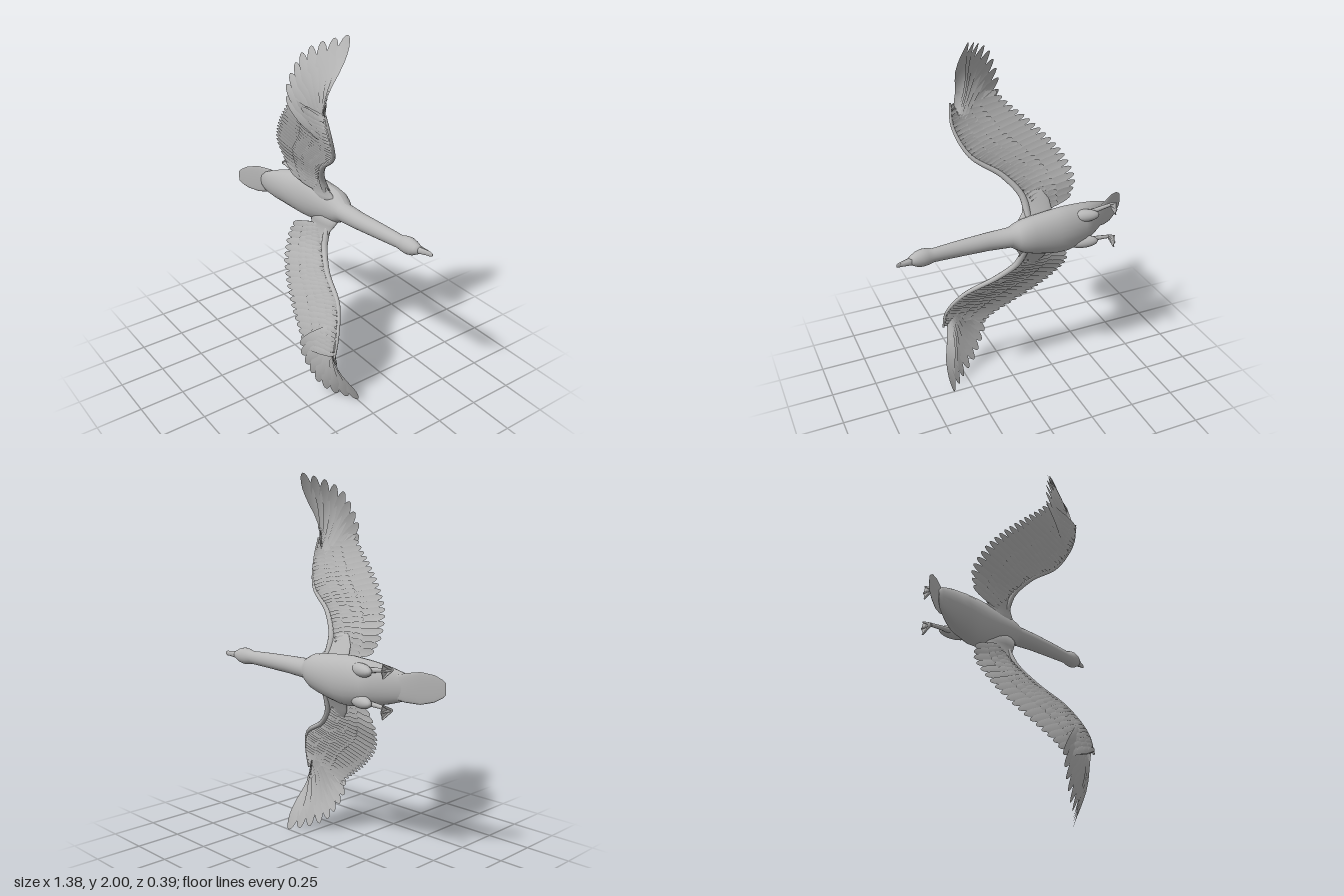
import * as THREE from 'three';
import { mergeGeometries } from 'three/addons/utils/BufferGeometryUtils.js';

const V = (x, y, z) => new THREE.Vector3(x, y, z);
const curve = pts => new THREE.CatmullRomCurve3(pts.map(p => V(...p)));

// Surface over a grid of points
function skin(rows) {
  const n = rows[0].length, idx = [];
  for (let i = 0; i < rows.length - 1; i++)
    for (let j = 0; j < n - 1; j++) {
      const a = i * n + j, b = a + n;
      idx.push(a, b, a + 1, b, b + 1, a + 1);
    }
  const g = new THREE.BufferGeometry().setFromPoints(rows.flat());
  g.setIndex(idx);
  g.computeVertexNormals();
  return g;
}

// Elliptical loft along x; each station is [x, y, z, radiusY, radiusZ]
function loft(stations, sides = 24) {
  const ring = (s, k) => Array.from({ length: sides + 1 }, (_, j) => {
    const a = -j / sides * Math.PI * 2;
    return V(s[0], s[1] + Math.cos(a) * s[3] * k, s[2] + Math.sin(a) * s[4] * k);
  });
  return skin([ring(stations[0], 0), ...stations.map(s => ring(s, 1)), ring(stations.at(-1), 0)]);
}

// One rounded feather, ridged along its shaft and tilted to overlap its neighbour.
// reach is the fraction of the full root-to-tip arc that it covers.
function feather(root, tip, sideA, sideB, { reach, width, lift, bow }) {
  const dir = tip.clone().sub(root).normalize(), rows = [];
  for (let i = 0; i <= 10; i++) {
    const t = i < 6 ? i * 0.14 : 0.7 + 0.3 * Math.sin((i - 5) / 5 * Math.PI / 2);
    const side = sideA.clone().lerp(sideB, t * reach);
    side.addScaledVector(dir, -side.dot(dir)).normalize();
    const up = V(0, 0, 0).crossVectors(side, dir).normalize();
    if (up.z < 0) up.negate();
    const round = t > 0.7 ? Math.sqrt(Math.max(0, 1 - ((t - 0.7) / 0.3) ** 2)) : 1;
    const w = width / 2 * Math.min(1, 0.45 + t) * round;
    const c = root.clone().lerp(tip, t * reach).addScaledVector(up, lift + bow * Math.sin(t * reach * Math.PI));
    rows.push([-1, 0, 1].map(k => c.clone().addScaledVector(side, k * w)
      .addScaledVector(up, (k === 0 ? 0.002 : -k * 0.003) * round)));
  }
  return skin(rows);
}

// A row of feathers spread from one curve to another
function featherRow(roots, tips, count, { reach = 1, overlap = 1.25, lift = 0, bow = 0.008 }) {
  const step = (roots.getLength() * (1 - reach) + tips.getLength() * reach) / (count - 1);
  return mergeGeometries(Array.from({ length: count }, (_, i) => {
    const t = i / (count - 1);
    return feather(roots.getPointAt(t), tips.getPointAt(t), roots.getTangentAt(t), tips.getTangentAt(t),
      { reach, width: step * overlap, lift, bow });
  }));
}

// Limb with a changing radius along a curve
function limb(path, r0, r1) {
  const rows = [], n = 24, fr = path.computeFrenetFrames(n);
  for (let i = 0; i <= n; i++) {
    const t = i / n, c = path.getPointAt(t), r = r0 + (r1 - r0) * t;
    rows.push(Array.from({ length: 11 }, (_, j) => {
      const a = j / 10 * Math.PI * 2;
      return c.clone().addScaledVector(fr.normals[i], Math.cos(a) * r)
        .addScaledVector(fr.binormals[i], Math.sin(a) * r);
    }));
  }
  return skin(rows);
}

export function createModel() {
  const grey = new THREE.MeshStandardMaterial({ color: 0xb8b8b8, side: THREE.DoubleSide });
  grey.name = 'plain grey';
  const model = new THREE.Group();
  const add = (parent, name, geo) => {
    const m = new THREE.Mesh(geo, grey);
    m.name = name;
    parent.add(m);
    return m;
  };

  // Body, neck and head in one smooth loft
  add(model, 'body', loft([
    [-0.565, 0.97, 0.0, 0.03, 0.006], [-0.54, 0.97, -0.012, 0.058, 0.018],
    [-0.5, 0.97, -0.03, 0.075, 0.036], [-0.45, 0.972, -0.052, 0.092, 0.054],
    [-0.4, 0.974, -0.073, 0.104, 0.07], [-0.35, 0.975, -0.09, 0.114, 0.083],
    [-0.25, 0.975, -0.11, 0.128, 0.083], [-0.19, 0.977, -0.116, 0.126, 0.082],
    [-0.12, 0.982, -0.121, 0.116, 0.08], [-0.05, 0.988, -0.124, 0.104, 0.076],
    [0.0, 0.992, -0.124, 0.092, 0.072], [0.035, 0.994, -0.12, 0.074, 0.064],
    [0.07, 0.995, -0.114, 0.053, 0.051], [0.2, 0.999, -0.116, 0.047, 0.044],
    [0.35, 1.003, -0.128, 0.042, 0.037], [0.49, 1.005, -0.14, 0.036, 0.03],
    [0.52, 1.007, -0.143, 0.043, 0.037], [0.55, 1.008, -0.146, 0.046, 0.039],
    [0.58, 1.008, -0.149, 0.039, 0.034], [0.6, 1.009, -0.152, 0.028, 0.027],
    [0.615, 1.01, -0.155, 0.02, 0.02]]));
  add(model, 'upperBeak', loft([[0.59, 1.009, -0.147, 0.024, 0.02], [0.62, 1.01, -0.157, 0.017, 0.013],
    [0.65, 1.011, -0.166, 0.015, 0.007], [0.675, 1.011, -0.172, 0.013, 0.004], [0.687, 1.011, -0.174, 0.007, 0.002]], 14));
  add(model, 'lowerBeak', loft([[0.59, 1.009, -0.163, 0.02, 0.012], [0.63, 1.01, -0.172, 0.014, 0.006],
    [0.665, 1.011, -0.176, 0.01, 0.003]], 12));
  add(model, 'tail', loft([[-0.46, 0.97, -0.072, 0.05, 0.012], [-0.53, 0.97, -0.033, 0.072, 0.01],
    [-0.59, 0.97, 0.008, 0.08, 0.007], [-0.645, 0.97, 0.047, 0.066, 0.004],
    [-0.675, 0.97, 0.068, 0.045, 0.002], [-0.688, 0.97, 0.078, 0.03, 0.001]], 20));

  // Wing curves, with the body axis along x
  const roots = curve([[-0.1, 0.11, -0.07], [-0.04, 0.2, -0.038], [0.06, 0.305, 0.016],
    [0.232, 0.412, 0.067], [0.303, 0.55, 0.13], [0.308, 0.64, 0.157]]);
  const tips = curve([[-0.31, 0.165, -0.03], [-0.338, 0.24, -0.01], [-0.302, 0.352, 0.045],
    [-0.242, 0.43, 0.08], [-0.13, 0.535, 0.128], [-0.01, 0.63, 0.165], [0.055, 0.69, 0.18]]);
  const handRoots = curve([[0.25, 0.51, 0.12], [0.275, 0.56, 0.138], [0.288, 0.62, 0.155]]);
  const handTips = curve([[0.045, 0.7, 0.188], [0.05, 0.765, 0.186], [0.085, 0.849, 0.165],
    [0.131, 0.926, 0.137], [0.193, 0.967, 0.095], [0.245, 0.988, 0.045], [0.294, 1.003, 0.0]]);
  const armPath = curve([[-0.04, 0.08, -0.09], [-0.035, 0.14, -0.065], [-0.018, 0.205, -0.038],
    [0.075, 0.305, 0.014], [0.235, 0.408, 0.065], [0.31, 0.55, 0.13], [0.314, 0.66, 0.157]]);
  // Wing root stations, lofted outward from the body: [out, -forward, z, half chord, thickness]
  const rootStations = [[0.03, 0.085, -0.105, 0.13, 0.05], [0.085, 0.09, -0.085, 0.105, 0.028],
    [0.12, 0.095, -0.072, 0.085, 0.017], [0.17, 0.095, -0.052, 0.075, 0.009], [0.22, 0.07, -0.03, 0.06, 0.005]];
  // Covert rows: [name, count, reach, distance from the wing surface]
  const coverts = [['greaterCoverts', 24, 0.6, 0.005], ['medianCoverts', 28, 0.4, 0.008], ['lesserCoverts', 34, 0.22, 0.01]];

  for (const [name, s] of [['leftWing', 1], ['rightWing', -1]]) {
    const wing = new THREE.Group();
    wing.name = name;
    wing.position.y = 0.979;
    wing.rotation.z = 0.0674;
    wing.scale.y = s;
    model.add(wing);
    add(wing, 'wingArm', limb(armPath, 0.02, 0.006));
    add(wing, 'wingRoot', loft(rootStations).rotateZ(Math.PI / 2));
    add(wing, 'secondaryFeathers', featherRow(roots, tips, 20, { overlap: 1.12 }));
    add(wing, 'primaryFeathers', featherRow(handRoots, handTips, 9, { overlap: 0.98, bow: 0.018 }));
    // Shorter coverts on both faces of the wing
    for (const k of [1, -1]) {
      for (const [row, count, reach, lift] of coverts)
        add(wing, row, featherRow(roots, tips, count, { reach, lift: k * lift }));
      add(wing, 'primaryCoverts', featherRow(handRoots, handTips, 9, { reach: 0.28, lift: k * 0.004, bow: 0.018 }));
    }
  }

  // Legs trailing back along the belly, with webbed feet
  const web = new THREE.Shape([[0, -0.008], [0.064, -0.035], [0.068, -0.018], [0.076, 0],
    [0.068, 0.018], [0.064, 0.035], [0, 0.008]].map(p => new THREE.Vector2(...p)));
  for (const [name, s] of [['leftLeg', 1], ['rightLeg', -1]]) {
    const leg = new THREE.Group();
    leg.name = name;
    leg.position.y = 0.968;
    leg.scale.y = s;
    model.add(leg);
    const thigh = add(leg, 'thigh', new THREE.SphereGeometry(1, 20, 14));
    thigh.position.set(-0.34, 0.078, -0.142);
    thigh.rotation.y = -0.25;
    thigh.scale.set(0.085, 0.034, 0.033);
    add(leg, 'shank', limb(curve([[-0.38, 0.082, -0.132], [-0.44, 0.088, -0.124], [-0.515, 0.097, -0.12]]), 0.014, 0.009));
    const foot = new THREE.Group();
    foot.name = 'foot';
    foot.position.set(-0.514, 0.098, -0.112);
    foot.rotation.y = Math.PI / 2;
    leg.add(foot);
    add(foot, 'web', new THREE.ExtrudeGeometry(web, { depth: 0.004, bevelEnabled: false }));
    for (const a of [-0.48, 0, 0.48]) {
      const toe = add(foot, 'toe', new THREE.CylinderGeometry(0.004, 0.008, 0.074, 8).translate(0, 0.037, 0));
      toe.rotation.z = a - Math.PI / 2;
    }
  }
  return model;
}
